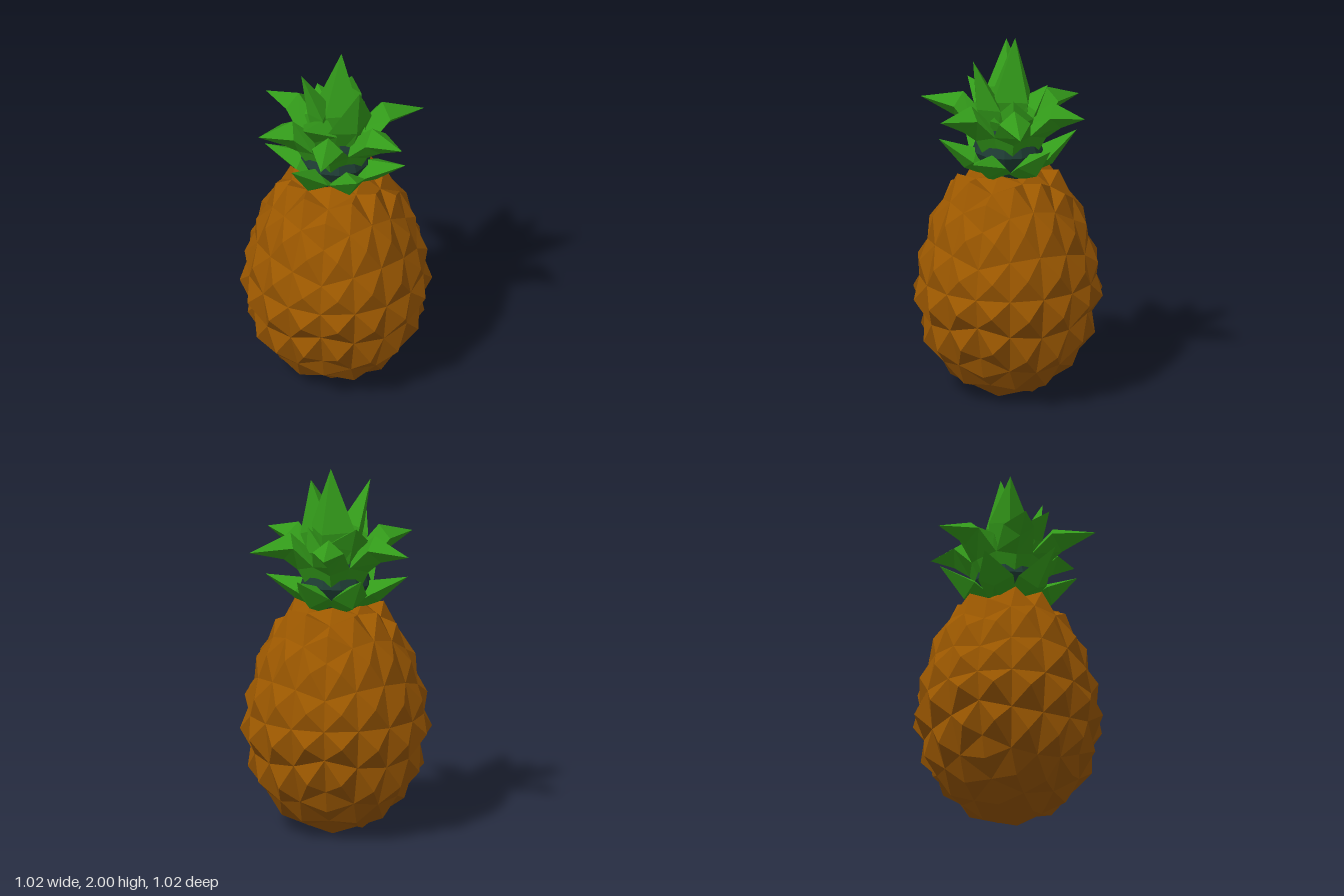
import * as THREE from 'three';

// Turns a list of triangle corners into a faceted geometry.
function faceted(tris) {
  const g = new THREE.BufferGeometry().setFromPoints(tris);
  g.computeVertexNormals();
  return g;
}

const polar = (r, y, a) => new THREE.Vector3(r * Math.sin(a), y, r * Math.cos(a));

// Places a direction on a profile of [latitude, radius, height] points.
function onProfile(profile, dir) {
  const lat = THREE.MathUtils.radToDeg(Math.atan2(dir.y, Math.hypot(dir.x, dir.z)));
  let i = 0;
  while (i < profile.length - 2 && lat > profile[i + 1][0]) i++;
  const [l0, r0, y0] = profile[i], [l1, r1, y1] = profile[i + 1];
  const t = (lat - l0) / (l1 - l0);
  return polar(r0 + (r1 - r0) * t, y0 + (y1 - y0) * t, Math.atan2(dir.x, dir.z));
}

// Fruit: a cube of 4 x 4 cells per side rounded to the profile, each cell raised to a pyramid.
function bodyGeometry() {
  const valleys = [[-90, 0, 0.02], [-67.5, 0.2, 0.045], [-45, 0.375, 0.2], [-22.5, 0.45, 0.42],
    [0, 0.477, 0.645], [22.5, 0.43, 0.87], [45, 0.34, 1.1], [67.5, 0.19, 1.215], [90, 0, 1.235]];
  const tips = [[-90, 0, 0], [-74.3, 0.144, 0], [-55.1, 0.312, 0.095], [-33.2, 0.465, 0.3],
    [-11, 0.52, 0.54], [11, 0.49, 0.76], [33.2, 0.415, 1.0], [55.1, 0.275, 1.23],
    [74.3, 0.141, 1.25], [90, 0, 1.25]];
  const cell = Math.PI / 8;
  const tris = [];
  for (let axis = 0; axis < 3; axis++) {
    for (const sign of [1, -1]) {
      const dir = (i, j) => new THREE.Vector3()
        .setComponent(axis, sign)
        .setComponent((axis + 1) % 3, sign * Math.tan((i - 2) * cell))
        .setComponent((axis + 2) % 3, Math.tan((j - 2) * cell));
      for (let i = 0; i < 4; i++) {
        for (let j = 0; j < 4; j++) {
          const tip = onProfile(tips, dir(i + 0.5, j + 0.5));
          const c = [[i, j], [i + 1, j], [i + 1, j + 1], [i, j + 1]].map(([p, q]) => onProfile(valleys, dir(p, q)));
          c.forEach((corner, k) => tris.push(corner, c[(k + 1) % 4], tip));
        }
      }
    }
  }
  return faceted(tris);
}

// Leaf: diamond sections [radius, y, half width, ridge up, keel down], pointing to azimuth a.
function leafGeometry(a, sections) {
  const side = new THREE.Vector3(Math.cos(a), 0, -Math.sin(a));
  const loops = sections.map(([r, y, w, up, down], i) => {
    const p = sections[Math.max(i - 1, 0)], q = sections[Math.min(i + 1, sections.length - 1)];
    const len = Math.hypot(q[0] - p[0], q[1] - p[1]);
    const nr = -(q[1] - p[1]) / len, ny = (q[0] - p[0]) / len;
    const at = (s, n) => polar(r + nr * n, y + ny * n, a).addScaledVector(side, s);
    return [at(w, 0), at(0, up), at(-w, 0), at(0, -down)];
  });
  const tris = [];
  for (let i = 0; i + 1 < loops.length; i++) {
    for (let k = 0; k < 4; k++) {
      const m = (k + 1) % 4, lo = loops[i], hi = loops[i + 1];
      tris.push(lo[k], lo[m], hi[m]);
      if (i + 2 < loops.length) tris.push(lo[k], hi[m], hi[k]);
    }
  }
  return faceted(tris);
}

export function createModel() {
  const model = new THREE.Group();
  const skin = new THREE.MeshStandardMaterial({ name: 'brown skin', color: 0x9c5800 });
  const green = new THREE.MeshStandardMaterial({ name: 'leaf green', color: 0x339b1a, side: THREE.DoubleSide });
  const dark = new THREE.MeshStandardMaterial({ name: 'dark slate green', color: 0x1e3c34 });

  const add = (name, geometry, material, parent = model) => {
    const mesh = new THREE.Mesh(geometry, material);
    mesh.name = name;
    parent.add(mesh);
  };

  add('fruitBody', bodyGeometry(), skin);

  // Dark core of the crown, seen between the leaves
  const profile = [[0.12, 1.22], [0.19, 1.36], [0.15, 1.48], [0.08, 1.6]];
  const core = new THREE.LatheGeometry(profile.map(([r, y]) => new THREE.Vector2(r, y)), 12).toNonIndexed();
  core.computeVertexNormals();
  add('crownCore', core, dark);

  const crown = new THREE.Group();
  crown.name = 'crown';
  model.add(crown);
  const addLeaf = (name, [x, y, z], sections) =>
    add(name, leafGeometry(Math.atan2(x, z), [...sections, [Math.hypot(x, z), y, 0, 0, 0]]), green, crown);

  // Lower whorl of short leaves
  [[0.1, 1.45, -0.36], [0.34, 1.43, -0.1], [0.24, 1.38, 0.31],
    [-0.11, 1.43, 0.36], [-0.37, 1.46, 0.11], [-0.28, 1.4, -0.27]].forEach((tip) =>
    addLeaf('lowerLeaf', tip, [[0.05, 1.22, 0.07, 0.04, 0.03], [0.2, 1.32, 0.1, 0.06, 0.07]]));

  // Middle whorl of long drooping leaves
  [[-0.13, 1.57, -0.475], [0.32, 1.58, -0.31], [0.48, 1.565, 0.14],
    [0.12, 1.6, 0.45], [-0.35, 1.6, 0.36], [-0.44, 1.6, -0.1]].forEach((tip) =>
    addLeaf('middleLeaf', tip, [[0.06, 1.24, 0.07, 0.04, 0.04],
      [0.17, 1.48, 0.1, 0.07, 0.06], [0.28, 1.59, 0.085, 0.07, 0.08]]));

  // Upright leaves at the top
  const base = [0.03, 1.35, 0.08, 0.05, 0.06];
  addLeaf('topLeaf', [0.05, 2, -0.02], [[0, 1.3, 0.1, 0.1, 0.1], [0.03, 1.66, 0.14, 0.14, 0.12]]);
  addLeaf('topLeaf', [-0.18, 1.92, -0.07], [base, [0.1, 1.68, 0.11, 0.07, 0.06]]);
  addLeaf('topLeaf', [0.01, 1.885, 0.21], [base, [0.12, 1.63, 0.15, 0.06, 0.07]]);
  addLeaf('topLeaf', [-0.29, 1.7, 0.11], [base, [0.15, 1.61, 0.11, 0.08, 0.07]]);
  addLeaf('topLeaf', [0.03, 1.7, -0.22], [base, [0.12, 1.6, 0.13, 0.06, 0.06]]);
  addLeaf('topLeaf', [0.16, 1.68, 0.04], [base, [0.12, 1.56, 0.12, 0.06, 0.06]]);

  return model;
}
